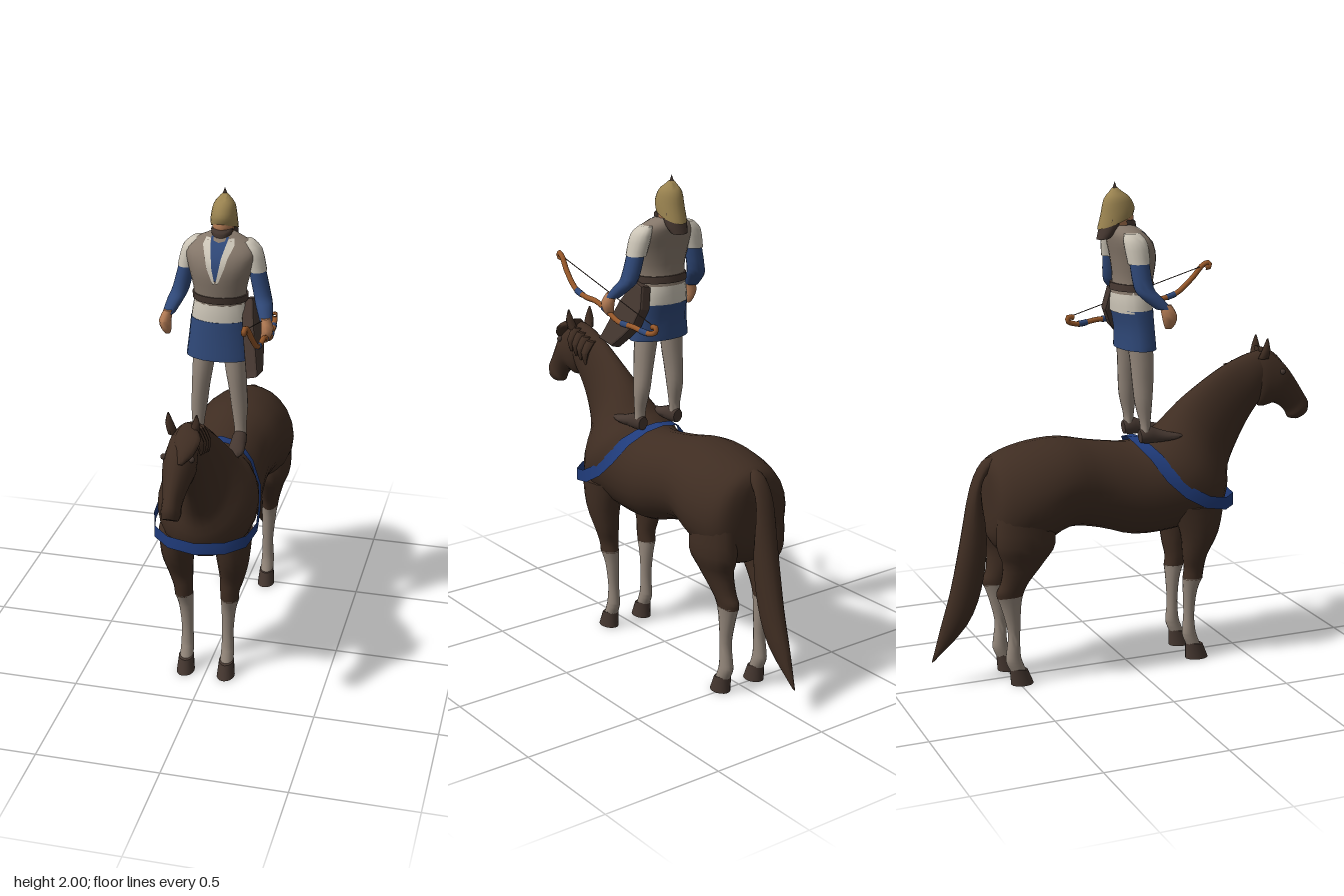
import * as THREE from 'three';
import { toCreasedNormals } from 'three/addons/utils/BufferGeometryUtils.js';

const mat = (name, color, side = THREE.FrontSide) => {
  const m = new THREE.MeshStandardMaterial({ color, side });
  m.name = name;
  return m;
};

// Smooths a list of rings [zA, yA, zB, yB, halfWidth, xCentre] into a denser one
function smooth(rings, n = 3) {
  const out = [], at = i => rings[Math.max(0, Math.min(rings.length - 1, i))];
  for (let i = 0; i < rings.length - 1; i++) for (let k = 0; k < n; k++) {
    const t = k / n;
    out.push(rings[i].map((p1, j) => {
      const p0 = at(i - 1)[j], p2 = at(i + 1)[j], p3 = at(i + 2)[j];
      return 0.5 * (2 * p1 + (p2 - p0) * t + (2 * p0 - 5 * p1 + 4 * p2 - p3) * t * t
        + (3 * p1 - p0 - 3 * p2 + p3) * t * t * t);
    }));
  }
  out.push(rings[rings.length - 1]);
  return out;
}

// Closed skin over elliptical rings, each spanning A to B in the zy plane
function loft(rings, side = 1, n = 3, sides = 16) {
  const dense = n > 1 ? smooth(rings, n) : rings, pos = [], idx = [];
  for (const [zA, yA, zB, yB, w, x = 0] of dense) for (let i = 0; i < sides; i++) {
    const a = i / sides * Math.PI * 2, c = Math.cos(a) / 2;
    pos.push(side * x + w * Math.sin(a), (yA + yB) / 2 + (yA - yB) * c, (zA + zB) / 2 + (zA - zB) * c);
  }
  const last = dense.length - 1, c0 = dense.length * sides;
  for (const r of [dense[0], dense[last]]) pos.push(side * (r[5] || 0), (r[1] + r[3]) / 2, (r[0] + r[2]) / 2);
  for (let i = 0; i < sides; i++) {
    const j = (i + 1) % sides;
    for (let k = 0; k < last; k++) {
      const a = k * sides + i, b = k * sides + j;
      idx.push(a, b, b + sides, a, b + sides, a + sides);
    }
    idx.push(c0, j, i, c0 + 1, last * sides + i, last * sides + j);
  }
  // Turn the skin outward whichever way the rings run
  const v = k => new THREE.Vector3().fromArray(pos, k * 3);
  let vol = 0;
  for (let t = 0; t < idx.length; t += 3) vol += v(idx[t]).dot(v(idx[t + 1]).cross(v(idx[t + 2])));
  if (vol < 0) idx.reverse();
  const g = new THREE.BufferGeometry();
  g.setAttribute('position', new THREE.Float32BufferAttribute(pos, 3));
  g.setIndex(idx);
  return toCreasedNormals(g, 0.9);
}

// Open strip between two equally long rows of points
function strip(rowA, rowB) {
  const pos = [], idx = [];
  rowA.forEach((p, i) => {
    pos.push(...p, ...rowB[i]);
    if (i) idx.push(2 * i - 2, 2 * i - 1, 2 * i, 2 * i, 2 * i - 1, 2 * i + 1);
  });
  const g = new THREE.BufferGeometry();
  g.setAttribute('position', new THREE.Float32BufferAttribute(pos, 3));
  g.setIndex(idx);
  g.computeVertexNormals();
  return g;
}

// Horizontal rings written as [y, zFront, zBack, halfWidth, xCentre]
const level = rows => rows.map(([y, f, b, w, x = 0]) => [f, y, b, y, w, x]);

export function createModel() {
  const D = THREE.DoubleSide;
  const coat = mat('dark brown coat', 0x3f2d22), stocking = mat('grey stocking', 0x94877b);
  const blue = mat('blue cloth', 0x2f4878, D), strapBlue = mat('strap blue', 0x203c7c, D);
  const cream = mat('cream cloth', 0xcbc4b6, D), vestMat = mat('taupe vest', 0x85776a, D);
  const skin = mat('skin', 0xb47c55), brass = mat('brass', 0x9a8350);
  const wood = mat('bow wood', 0x99592a), leather = mat('dark leather', 0x453730);

  const model = new THREE.Group();
  const horse = new THREE.Group(), rider = new THREE.Group();
  horse.name = 'horse'; rider.name = 'rider';
  model.add(horse, rider);
  const add = (parent, name, geo, m) => {
    const mesh = new THREE.Mesh(geo, m);
    mesh.name = name;
    parent.add(mesh);
    return mesh;
  };

  // Horse body and neck, rump to poll
  add(horse, 'bodyAndNeck', loft([
    [-.60, .90, -.60, .68, .06], [-.575, .935, -.59, .60, .15], [-.50, .965, -.53, .54, .195],
    [-.40, .985, -.40, .56, .21], [-.28, .99, -.27, .62, .195], [-.15, .965, -.13, .60, .17],
    [0, .945, .02, .555, .175], [.07, .955, .2, .56, .187], [.1, .97, .38, .605, .205],
    [.15, 1.0, .44, .70, .172], [.24, 1.09, .455, .80, .105], [.34, 1.165, .50, .90, .07],
    [.44, 1.225, .55, .99, .057], [.53, 1.262, .60, 1.06, .055], [.58, 1.275, .63, 1.10, .05]], 1, 3, 24), coat);
  add(horse, 'head', loft([
    [.55, 1.268, .59, 1.07, .04], [.61, 1.28, .60, 1.045, .055], [.66, 1.262, .63, 1.04, .06],
    [.72, 1.215, .67, 1.05, .058], [.77, 1.15, .71, 1.03, .045], [.81, 1.09, .735, 1.0, .036],
    [.837, 1.045, .745, .98, .037], [.836, 1.01, .775, .972, .03]]), coat);
  add(horse, 'tail', loft([
    [-.55, .94, -.56, .88, .028], [-.61, .92, -.595, .87, .035], [-.665, .81, -.622, .80, .04],
    [-.71, .60, -.60, .60, .045], [-.755, .40, -.625, .40, .04], [-.80, .25, -.69, .25, .03],
    [-.84, .11, -.825, .12, .005]]), coat);
  add(horse, 'forelock', loft([
    [.60, 1.295, .60, 1.25, .03, .02], [.66, 1.275, .65, 1.24, .05, .03],
    [.71, 1.235, .69, 1.20, .035, .03], [.74, 1.19, .73, 1.18, .008, .02]]), coat);
  // Mane locks lying over the left of the neck
  for (let i = 0; i < 4; i++) {
    const z = .59 - i * .035, y = 1.26 - i * .012;
    add(horse, 'maneLock', loft([
      [z + .02, y, z - .03, y, .02, .03], [z + .02, y - .05, z - .02, y - .05, .016, .06],
      [z, y - .1, z - .01, y - .1, .004, .062]], 1, 2, 8), coat);
  }

  for (const s of [1, -1]) {
    add(horse, 'ear', loft(level([
      [1.25, .63, .58, .018, .04], [1.29, .63, .595, .017, .05], [1.335, .618, .612, .003, .054]]), s, 2, 8), coat);
    const eye = add(horse, 'eye', new THREE.SphereGeometry(.012, 10, 8), leather);
    eye.position.set(s * .053, 1.19, .69);

    // Front leg, stocking and hoof
    add(horse, 'frontLeg', loft(level([
      [.68, .39, .16, .08, .11], [.56, .365, .2, .066, .115], [.46, .32, .215, .05, .107],
      [.40, .31, .225, .04, .098], [.355, .305, .22, .037, .097]]), s), coat);
    add(horse, 'frontStocking', loft(level([
      [.36, .306, .22, .038, .097], [.30, .285, .225, .03, .09], [.2, .275, .23, .024, .086],
      [.13, .28, .225, .026, .086], [.1, .288, .226, .027, .086], [.055, .305, .245, .028, .086]]), s), stocking);
    add(horse, 'frontHoof', loft([
      [.315, .06, .24, .075, .031, .086], [.34, 0, .24, 0, .037, .086]], s, 1), leather);

    // Hind leg, stocking and hoof
    add(horse, 'hindLeg', loft(level([
      [.74, -.37, -.59, .075, .115], [.60, -.35, -.597, .074, .117], [.52, -.395, -.57, .055, .108],
      [.44, -.455, -.575, .042, .097], [.40, -.475, -.592, .037, .092], [.375, -.483, -.59, .035, .09]]), s), coat);
    add(horse, 'hindStocking', loft(level([
      [.38, -.482, -.591, .036, .09], [.33, -.49, -.572, .031, .088], [.22, -.495, -.545, .024, .086],
      [.14, -.495, -.552, .026, .086], [.1, -.488, -.555, .028, .086], [.055, -.47, -.535, .028, .086]]), s), stocking);
    add(horse, 'hindHoof', loft([
      [-.465, .06, -.54, .075, .031, .086], [-.44, 0, -.535, 0, .037, .086]], s, 1), leather);
  }

  // Breast strap looping from the withers round the chest: points plus width direction in y
  const half = [[0, .962, .035, 0], [.08, .95, .04, .1], [.142, .9, .08, .3], [.188, .82, .13, .45],
    [.203, .755, .2, .7], [.21, .71, .28, .9], [.187, .69, .37, 1], [.115, .685, .437, 1], [0, .68, .46, 1]];
  const loop = [...half, ...half.slice(0, -1).reverse().map(([x, y, z, k]) => [-x, y, z, k])];
  const edge = d => loop.map(([x, y, z, k]) => [x, y + d * k, z + d * Math.sqrt(1 - k * k)]);
  add(horse, 'breastStrap', strip(edge(-.026), edge(.026)), strapBlue);

  // Rider's torso, tunic and skirt
  const vestRings = smooth(level([
    [1.56, .1, -.055, .105], [1.62, .11, -.047, .106], [1.70, .118, -.055, .125],
    [1.76, .1, -.066, .138], [1.80, .065, -.07, .112], [1.83, .03, -.06, .045]]));
  add(rider, 'vest', loft(vestRings, 1, 1, 24), vestMat);
  add(rider, 'tunicHem', loft(level([
    [1.485, .107, -.055, .118], [1.53, .105, -.056, .113], [1.57, .1, -.052, .104]])), cream);
  add(rider, 'skirt', loft(level([
    [1.335, .118, -.036, .135], [1.42, .112, -.038, .125], [1.495, .108, -.054, .119]])), blue);
  add(rider, 'belt', loft(level([
    [1.572, .107, -.06, .11], [1.6, .112, -.056, .111]]), 1, 1, 24), leather);

  // Cloth details laid on the chest, rows of [y, xInner, xOuter]
  const chestZ = (x, y) => {
    const i = Math.max(1, vestRings.findIndex(r => r[1] >= y));
    const a = vestRings[i - 1], b = vestRings[i], t = (y - a[1]) / (b[1] - a[1]);
    const [f, , k, , w] = a.map((v, j) => v + (b[j] - v) * t);
    return (f + k) / 2 + (f - k) / 2 * Math.sqrt(Math.max(0, 1 - (x / w) ** 2)) + .005;
  };
  const onChest = (name, rows, m) => add(rider, name, strip(
    rows.map(([y, a]) => [a, y, chestZ(a, y)]), rows.map(([y, , b]) => [b, y, chestZ(b, y)])), m);
  onChest('shirtFront', [[1.825, -.035, .035], [1.8, -.03, .03], [1.76, -.02, .02], [1.72, -.014, .014], [1.67, -.003, .003]], blue);
  for (const s of [1, -1]) {
    onChest('collarTrim', [[1.82, .035, .055], [1.8, .03, .062], [1.76, .02, .045], [1.72, .014, .034], [1.66, .002, .01]]
      .map(([y, a, b]) => [y, s * a, s * b]), cream);

    // Arms
    add(rider, 'sleeve', loft(level([
      [1.805, .02, -.045, .022, .1], [1.77, .042, -.055, .038, .12], [1.69, .045, -.045, .038, .14]]), s), cream);
    add(rider, 'arm', loft(level([
      [1.71, .04, -.04, .033, .137], [1.6, .05, -.03, .034, .163], [1.56, .08, -.005, .033, .178],
      [1.515, .115, .05, .025, .195]]), s), blue);
    add(rider, 'hand', loft(level([
      [1.53, .115, .065, .018, .194], [1.49, .135, .07, .024, .205], [1.455, .13, .08, .02, .2],
      [1.435, .115, .09, .01, .195]]), s, 2, 10), skin);

    // Legs and boots
    add(rider, 'leg', loft(level([
      [1.38, .09, -.015, .046, .058], [1.28, .092, -.005, .042, .068], [1.2, .088, .0, .036, .076],
      [1.12, .08, .008, .033, .083], [1.04, .072, .028, .025, .087], [1.0, .07, .03, .025, .088]]), s), stocking);
    add(rider, 'boot', loft([
      [.025, 1.01, .03, .955, .022, .088], [.06, 1.025, .06, .95, .03, .088], [.1, 1.01, .1, .952, .031, .09],
      [.16, .99, .16, .957, .033, .094], [.205, .98, .205, .965, .015, .097]], s), leather);
  }

  // Head, hair, beard and helmet
  add(rider, 'face', loft(level([
    [1.80, .02, -.05, .032], [1.83, .025, -.07, .038], [1.86, .033, -.085, .044], [1.91, .02, -.09, .044]])), skin);
  add(rider, 'hair', loft([
    [-.07, 1.78, -.12, 1.775, .035], [-.04, 1.81, -.112, 1.805, .046], [-.01, 1.87, -.1, 1.85, .049]]), leather);
  add(rider, 'beard', loft(level([
    [1.775, .035, .015, .012], [1.81, .042, -.02, .032], [1.84, .04, -.03, .042], [1.85, .03, -.03, .043]])), leather);
  add(rider, 'helmet', loft([
    [.03, 1.87, -.117, 1.815, .053], [.036, 1.9, -.103, 1.87, .051], [.015, 1.94, -.09, 1.93, .042],
    [-.02, 1.965, -.068, 1.96, .022], [-.034, 1.977, -.056, 1.975, .01]], 1, 3, 20), brass);
  const tip = add(rider, 'helmetSpike', new THREE.ConeGeometry(.012, .035, 10), leather);
  tip.position.set(0, 1.9825, -.045);

  // Flat quiver hanging on the left hip
  const outline = new THREE.Shape([[.17, -.09], [.18, -.1], [.1, -.11], [.04, -.06], [-.01, -.01],
    [-.04, .06], [-.025, .14], [.02, .15], [.09, .06]].map(p => new THREE.Vector2(...p)));
  const quiverGeo = new THREE.ExtrudeGeometry(outline,
    { depth: .03, bevelSize: .01, bevelThickness: .01, bevelSegments: 2 });
  quiverGeo.translate(0, 0, -.015).rotateY(-Math.PI / 2).rotateZ(.22);
  add(rider, 'quiver', quiverGeo, leather).position.set(.142, 1.42, .005);

  // Recurved bow with wraps and string
  const bowCurve = new THREE.CatmullRomCurve3([[.193, 1.607, .44], [.195, 1.612, .465], [.197, 1.628, .46],
    [.2, 1.618, .435], [.207, 1.565, .39], [.211, 1.505, .32], [.21, 1.485, .25], [.207, 1.48, .18],
    [.203, 1.455, .11], [.2, 1.425, .04], [.192, 1.42, -.05], [.18, 1.41, -.14], [.176, 1.425, -.18],
    [.175, 1.443, -.175], [.175, 1.438, -.155]].map(p => new THREE.Vector3(...p)));
  add(rider, 'bow', new THREE.TubeGeometry(bowCurve, 70, .011, 8), wood);
  for (const t of [.33, .56, .72, .86]) {
    const pts = [0, .025, .05].map(d => bowCurve.getPointAt(t - .025 + d));
    add(rider, 'bowWrap', new THREE.TubeGeometry(new THREE.CatmullRomCurve3(pts), 5, .013, 8), blue);
  }
  add(rider, 'bowString', new THREE.TubeGeometry(new THREE.LineCurve3(
    new THREE.Vector3(.196, 1.62, .45), new THREE.Vector3(.176, 1.443, -.17)), 1, .002, 5), leather);

  return model;
}
